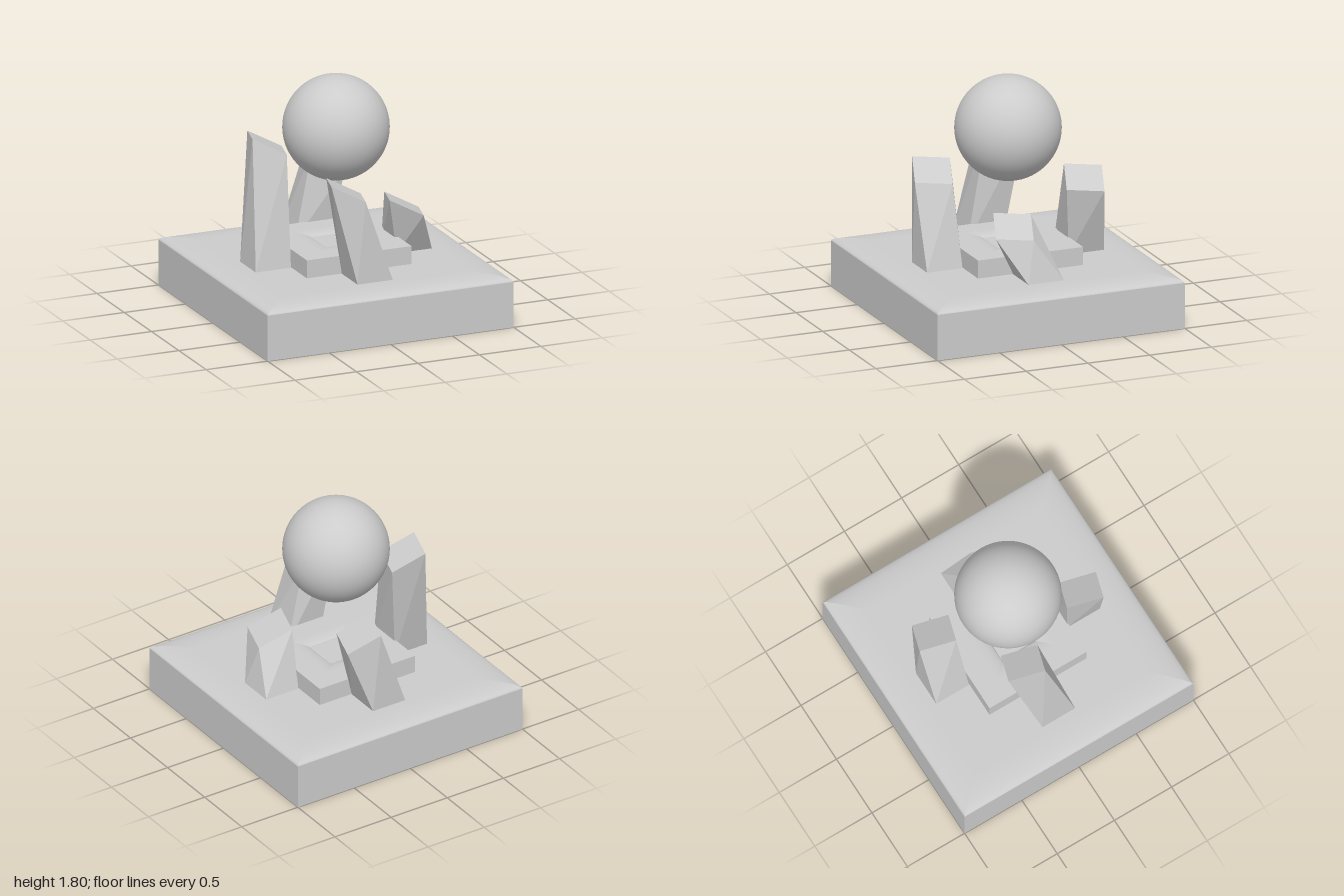
import * as THREE from 'three';

const grey = new THREE.MeshStandardMaterial({ color: 0xcccccc });
const flatGrey = new THREE.MeshStandardMaterial({ color: 0xcccccc, flatShading: true });

function geometryFrom(positions, index) {
  const g = new THREE.BufferGeometry();
  g.setAttribute('position', new THREE.Float32BufferAttribute(positions, 3));
  g.setIndex(index);
  g.computeVertexNormals();
  return g;
}

function addMesh(parent, name, geometry, material = grey) {
  const mesh = new THREE.Mesh(geometry, material);
  mesh.name = name;
  parent.add(mesh);
  return mesh;
}

// Square loft: profile of [halfWidth, y] rows, smooth along the profile, mitred at the corners
function squareLoft(profile) {
  const positions = [], index = [];
  for (let side = 0; side < 4; side++) {
    const c = [1, 0, -1, 0][side], s = [0, 1, 0, -1][side];
    const start = positions.length / 3;
    profile.forEach(([h, y], i) => {
      for (const x of [-h, h]) positions.push(x * c + h * s, y, -x * s + h * c);
      if (i === 0) return;
      const a = start + (i - 1) * 2;
      index.push(a, a + 1, a + 3, a, a + 3, a + 2);
    });
  }
  return geometryFrom(positions, index);
}

// Quarter-ellipse shoulder, flat at the inner or outer end where it meets the level surface
function shoulder(fromHalf, fromY, toHalf, toY, flatFirst, steps = 10) {
  return Array.from({ length: steps + 1 }, (_, i) => {
    const t = (i / steps) * Math.PI / 2;
    const u = flatFirst ? Math.sin(t) : 1 - Math.cos(t);
    const v = flatFirst ? 1 - Math.cos(t) : Math.sin(t);
    return [fromHalf + (toHalf - fromHalf) * u, fromY + (toY - fromY) * v];
  });
}

// Block with a level square foot and a tilted, turned square top
function twistedBlock([footX, footZ], [topX, topY, topZ]) {
  const half = 0.143;
  const corners = [[-1, 1], [1, 1], [1, -1], [-1, -1]];
  const positions = [], index = [];
  for (const [u, v] of corners) positions.push(footX + u * half, 0.4, footZ + v * half);
  for (const [u, v] of corners) {
    positions.push(
      topX + u * 0.121 - v * 0.039,
      topY - u * 0.063 + v * 0.011,
      topZ + u * 0.041 + v * 0.136
    );
  }
  for (let i = 0; i < 4; i++) {
    const j = (i + 1) % 4;
    index.push(i, j, j + 4, i, j + 4, i + 4);
  }
  index.push(4, 5, 6, 4, 6, 7, 0, 2, 1, 0, 3, 2);
  return geometryFrom(positions, index).toNonIndexed();
}

export function createModel() {
  const model = new THREE.Group();
  model.name = 'sculpture';

  // Square plinth with a softly domed edge
  const plinth = new THREE.Group();
  plinth.name = 'plinth';
  addMesh(plinth, 'plinthUnderside', squareLoft([[0, 0], [1, 0]]));
  addMesh(plinth, 'plinthWalls', squareLoft([[1, 0], [1, 0.355]]));
  addMesh(plinth, 'plinthTop', squareLoft([...shoulder(1, 0.355, 0.75, 0.4, false), [0, 0.4]]));
  model.add(plinth);

  // Low square tray with a shallow recess
  const tray = new THREE.Group();
  tray.name = 'tray';
  addMesh(tray, 'trayWalls', squareLoft([[0.425, 0.4], [0.425, 0.54]]));
  addMesh(tray, 'trayRim', squareLoft([[0.425, 0.54], ...shoulder(0.26, 0.54, 0.14, 0.51, true)]));
  addMesh(tray, 'trayFloor', squareLoft([[0.14, 0.51], [0, 0.51]]));
  model.add(tray);

  // Four leaning blocks around the tray
  const blocks = [
    ['frontBlock', [0, 0.573], [-0.16, 1.09, 0.543]],
    ['backBlock', [0, -0.573], [0.16, 0.99, -0.548]],
    ['rightBlock', [-0.573, 0], [-0.485, 1.292, -0.17]],
    ['leftBlock', [0.573, 0], [0.481, 0.787, 0.163]],
  ];
  for (const [name, foot, top] of blocks) addMesh(model, name, twistedBlock(foot, top), flatGrey);

  // Ball held above the tray
  addMesh(model, 'ball', new THREE.SphereGeometry(0.4, 64, 40)).position.y = 1.403;

  return model;
}
